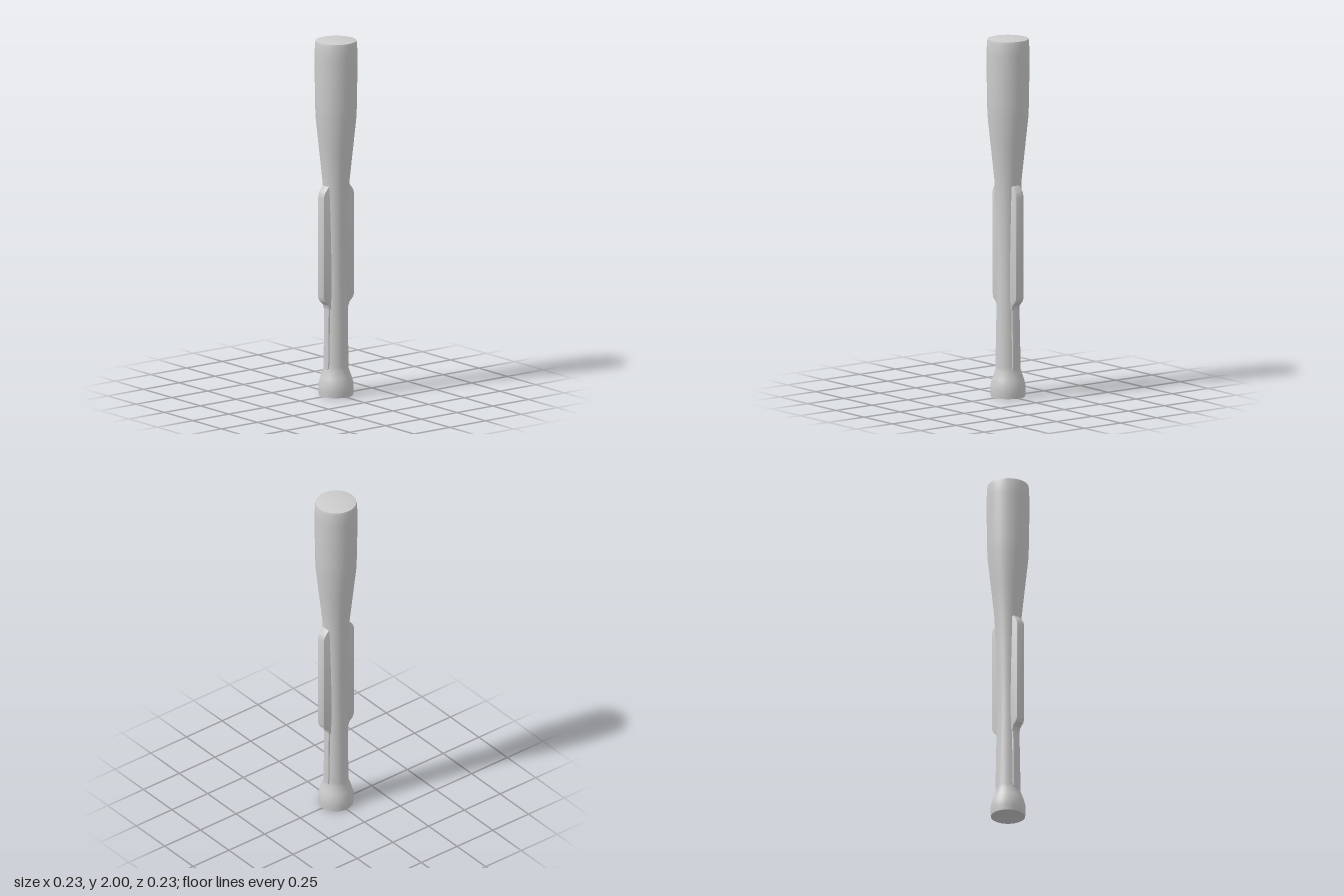
import * as THREE from 'three';
import { toCreasedNormals } from 'three/addons/utils/BufferGeometryUtils.js';

const BEVEL = 0.008;

export function createModel() {
  const model = new THREE.Group();
  model.name = 'bat';
  const material = new THREE.MeshStandardMaterial({ color: 0xcccccc });

  const add = (name, geometry) => {
    const mesh = new THREE.Mesh(toCreasedNormals(geometry, 0.4), material);
    mesh.name = name;
    model.add(mesh);
  };

  // Turned body: knob, grip, flaring shaft, barrel and shallow domed end
  const profile = [
    [0, 0], [0.094, 0], [0.097, 0.03], [0.096, 0.065], [0.085, 0.105], [0.07, 0.145],
    [0.069, 0.17], [0.063, 0.5], [0.06, 0.68], [0.063, 0.85], [0.068, 1.02], [0.074, 1.2],
    [0.093, 1.38], [0.112, 1.56], [0.115, 1.64], [0.117, 1.8], [0.117, 1.91],
    [0.116, 1.975], [0.112, 1.992], [0.072, 2], [0, 2],
  ].map(([r, y]) => new THREE.Vector2(r, y));
  add('body', new THREE.LatheGeometry(profile, 40));

  // Bevelled plate in the x-y plane, centred on z = 0 and rooted in the body
  const plate = (points, width) => {
    const shape = new THREE.Shape(points.map(([x, y]) => new THREE.Vector2(x, y)));
    const depth = width - 2 * BEVEL;
    return new THREE.ExtrudeGeometry(shape, {
      depth, bevelThickness: BEVEL, bevelSize: BEVEL, bevelOffset: -BEVEL, bevelSegments: 2,
    }).translate(0, 0, -depth / 2);
  };

  // Side fins and the thin grip strips beneath them
  const fin = [
    [0.02, 0.49], [0.067, 0.49], [0.075, 0.515], [0.099, 0.537], [0.108, 0.56],
    [0.108, 1.125], [0.1, 1.15], [0.074, 1.183], [0.02, 1.183],
  ];
  const strip = [[0.02, 0.155], [0.073, 0.155], [0.068, 0.53], [0.02, 0.53]];
  for (const [side, angle] of [['left', 0], ['right', Math.PI]]) {
    add(side + 'Fin', plate(fin, 0.056).rotateY(angle));
    add(side + 'GripStrip', plate(strip, 0.045).rotateY(angle));
  }
  return model;
}
